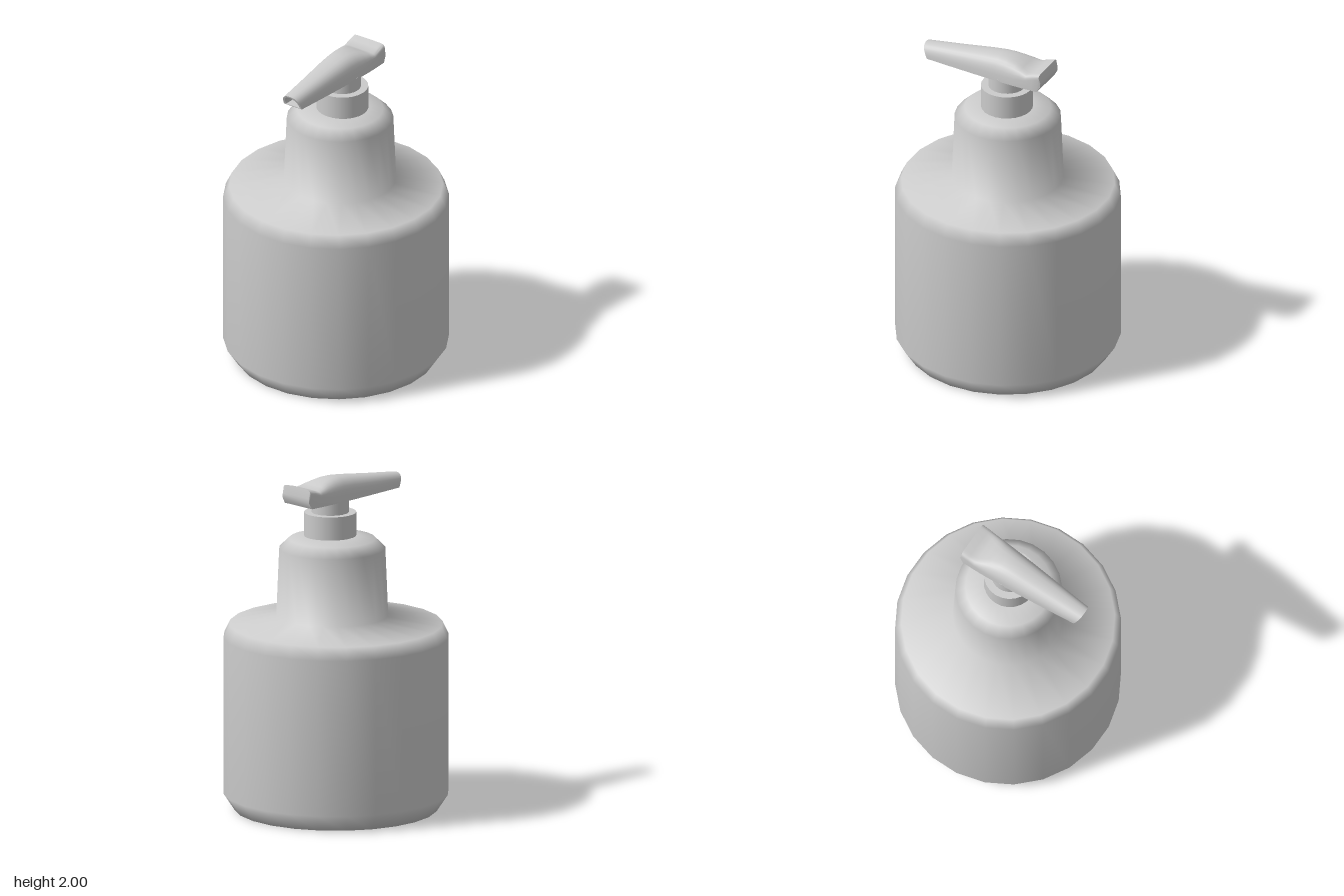
import * as THREE from 'three';
import { toCreasedNormals } from 'three/addons/utils/BufferGeometryUtils.js';

const SIDES = 24;
const material = new THREE.MeshStandardMaterial({ color: 0xcccccc, side: THREE.DoubleSide });
const PUMP_X = 0.037, PUMP_Z = -0.012;

function addMesh(group, name, geometry) {
  const mesh = new THREE.Mesh(geometry, material);
  mesh.name = name;
  group.add(mesh);
  return mesh;
}

// Arched section with a flat base: power 2 is round, higher is boxier.
// zTop and zBase differ to slant the section.
const ARCH = 16;
function archSection({ half, base, top, zBase, zTop, power }) {
  const points = [];
  for (let i = 0; i <= ARCH; i++) {
    const a = (i / ARCH) * Math.PI;
    const c = Math.cos(a);
    const x = Math.sign(c) * Math.pow(Math.abs(c), 2 / power) * half;
    const t = Math.pow(Math.max(0, Math.sin(a)), 2 / power);
    points.push([x, base + (top - base) * t, zBase + (zTop - zBase) * t]);
  }
  return points;
}

// Skin a row of sections and close both ends with fans.
function loft(sections) {
  const rings = sections.map(archSection);
  const n = ARCH + 1;
  const positions = rings.flat(2);
  const index = [];
  for (let r = 0; r < rings.length - 1; r++) {
    for (let i = 0; i < n; i++) {
      const j = (i + 1) % n;
      const a = r * n + i, b = r * n + j;
      index.push(a, a + n, b, b, a + n, b + n);
    }
  }
  [0, rings.length - 1].forEach((r, end) => {
    const centre = positions.length / 3;
    for (let k = 0; k < 3; k++) {
      positions.push((rings[r][0][k] + rings[r][ARCH][k] + 2 * rings[r][ARCH / 2][k]) / 4);
    }
    for (let i = 0; i < n; i++) {
      const a = r * n + i, b = r * n + ((i + 1) % n);
      if (end === 0) index.push(centre, a, b);
      else index.push(centre, b, a);
    }
  });
  const geometry = new THREE.BufferGeometry();
  geometry.setAttribute('position', new THREE.Float32BufferAttribute(positions, 3));
  geometry.setIndex(index);
  return toCreasedNormals(geometry, 0.75);
}

// Bottle: one turned profile whose neck sits slightly off the body's axis
function bottleGeometry() {
  const profile = [
    [0, 0], [0.6, 0], [0.666, 0.1], [0.666, 1.04], [0.63, 1.115],
    [0.331, 1.165], [0.314, 1.57], [0.255, 1.627], [0.15, 1.645], [0, 1.645],
  ].map(([r, y]) => new THREE.Vector2(r, y));
  const geometry = new THREE.LatheGeometry(profile, SIDES, Math.PI / SIDES);
  const p = geometry.attributes.position;
  for (let i = 0; i < p.count; i++) {
    const t = THREE.MathUtils.clamp((p.getY(i) - 1.115) / 0.05, 0, 1);
    p.setX(i, p.getX(i) + 0.022 * t);
    p.setZ(i, p.getZ(i) - 0.01 * t);
  }
  return geometry;
}

export function createModel() {
  const model = new THREE.Group();
  model.name = 'pumpBottle';
  addMesh(model, 'bottle', bottleGeometry());

  const pump = new THREE.Group();
  pump.name = 'pump';
  pump.position.set(PUMP_X, 0, PUMP_Z);
  model.add(pump);

  // Collar and stem
  for (const [name, radius, y0, y1] of [
    ['collar', 0.154, 1.64, 1.785],
    ['stem', 0.11, 1.78, 1.87],
  ]) {
    const g = new THREE.CylinderGeometry(radius, radius, y1 - y0, SIDES);
    addMesh(pump, name, g).position.y = (y0 + y1) / 2;
  }

  // Spout head: from the raised rear lip to the slanted tip, then back into its opening
  const s = (zBase, zTop, half, base, top, power) => ({ zBase, zTop, half, base, top, power });
  const head = addMesh(model, 'spoutHead', loft([
    s(-0.288, -0.29, 0.114, 1.895, 1.925, 9),
    s(-0.268, -0.282, 0.118, 1.86, 1.976, 9),
    s(-0.23, -0.235, 0.118, 1.86, 1.964, 9),
    s(-0.19, -0.19, 0.118, 1.86, 1.951, 7),
    s(-0.15, -0.15, 0.117, 1.86, 1.968, 4.5),
    s(-0.1, -0.1, 0.115, 1.86, 1.986, 3.2),
    s(-0.04, -0.04, 0.111, 1.86, 1.998, 2.8),
    s(0.02, 0.02, 0.106, 1.86, 2.0, 2.7),
    s(0.1, 0.1, 0.1, 1.86, 1.992, 2.7),
    s(0.3, 0.3, 0.082, 1.861, 1.967, 2.6),
    s(0.485, 0.52, 0.064, 1.862, 1.942, 2.5),
    s(0.485, 0.517, 0.05, 1.866, 1.933, 2.4),
    s(0.43, 0.44, 0.046, 1.867, 1.93, 2.4),
  ]));
  head.position.x = PUMP_X;
  return model;
}
